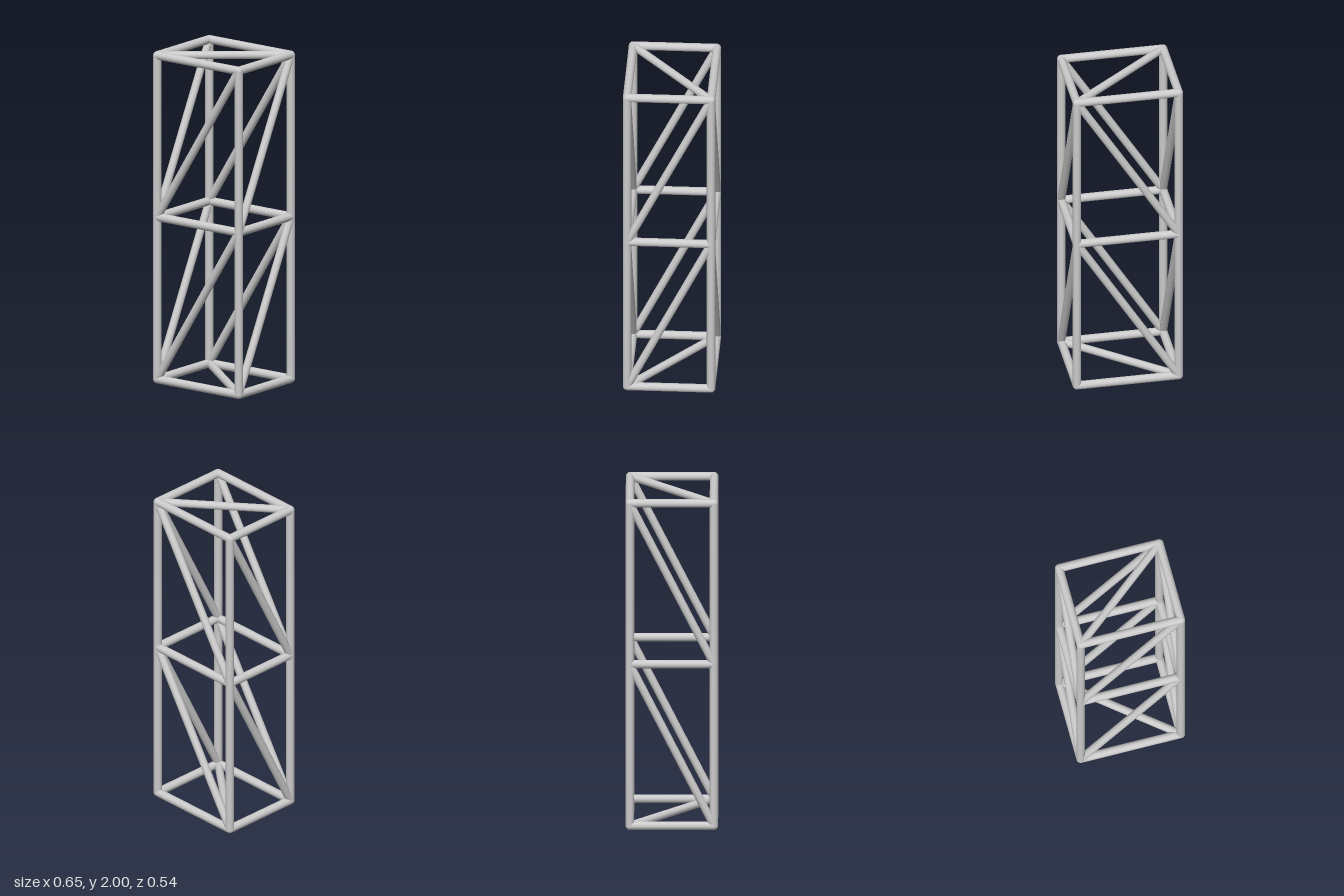
import * as THREE from 'three';

const X = 0.302, Z = 0.245;            // joint positions
const LEVELS = [0.029, 1.004, 1.975];  // ring heights
const R = 0.025, BRACE_R = 0.0235;     // tube radii

export function createModel() {
  const model = new THREE.Group();
  model.name = 'trussTower';
  const material = new THREE.MeshStandardMaterial({ color: 0xcccccc });
  const up = new THREE.Vector3(0, 1, 0);

  // Corners in order around the tower
  const corners = [[-X, Z], [X, Z], [X, -Z], [-X, -Z]];
  const joint = (c, level) => new THREE.Vector3(corners[c][0], LEVELS[level], corners[c][1]);

  // Straight tube between two joints
  function tube(name, a, b, radius) {
    const dir = b.clone().sub(a);
    const mesh = new THREE.Mesh(new THREE.CylinderGeometry(radius, radius, dir.length(), 16), material);
    mesh.name = name;
    mesh.position.copy(a).add(b).multiplyScalar(0.5);
    mesh.quaternion.setFromUnitVectors(up, dir.normalize());
    model.add(mesh);
  }

  // Horizontal rings with rounded joints
  for (let level = 0; level < 3; level++) {
    for (let c = 0; c < 4; c++) {
      tube('ringBeam', joint(c, level), joint((c + 1) % 4, level), R);
      const ball = new THREE.Mesh(new THREE.SphereGeometry(R, 16, 12), material);
      ball.name = 'joint';
      ball.position.copy(joint(c, level));
      model.add(ball);
    }
  }

  // Corner posts
  for (let c = 0; c < 4; c++) tube('cornerPost', joint(c, 0), joint(c, 2), R);

  // Side braces: [low corner, high corner] for each face, in both bays
  const braces = [[0, 1], [1, 2], [3, 2], [0, 3]];
  for (let bay = 0; bay < 2; bay++) {
    for (const [low, high] of braces) tube('sideBrace', joint(low, bay), joint(high, bay + 1), BRACE_R);
  }

  // Crossing braces of the top and bottom rings
  tube('topBrace', joint(0, 2), joint(2, 2), BRACE_R);
  tube('bottomBrace', joint(3, 0), joint(1, 0), BRACE_R);

  return model;
}
